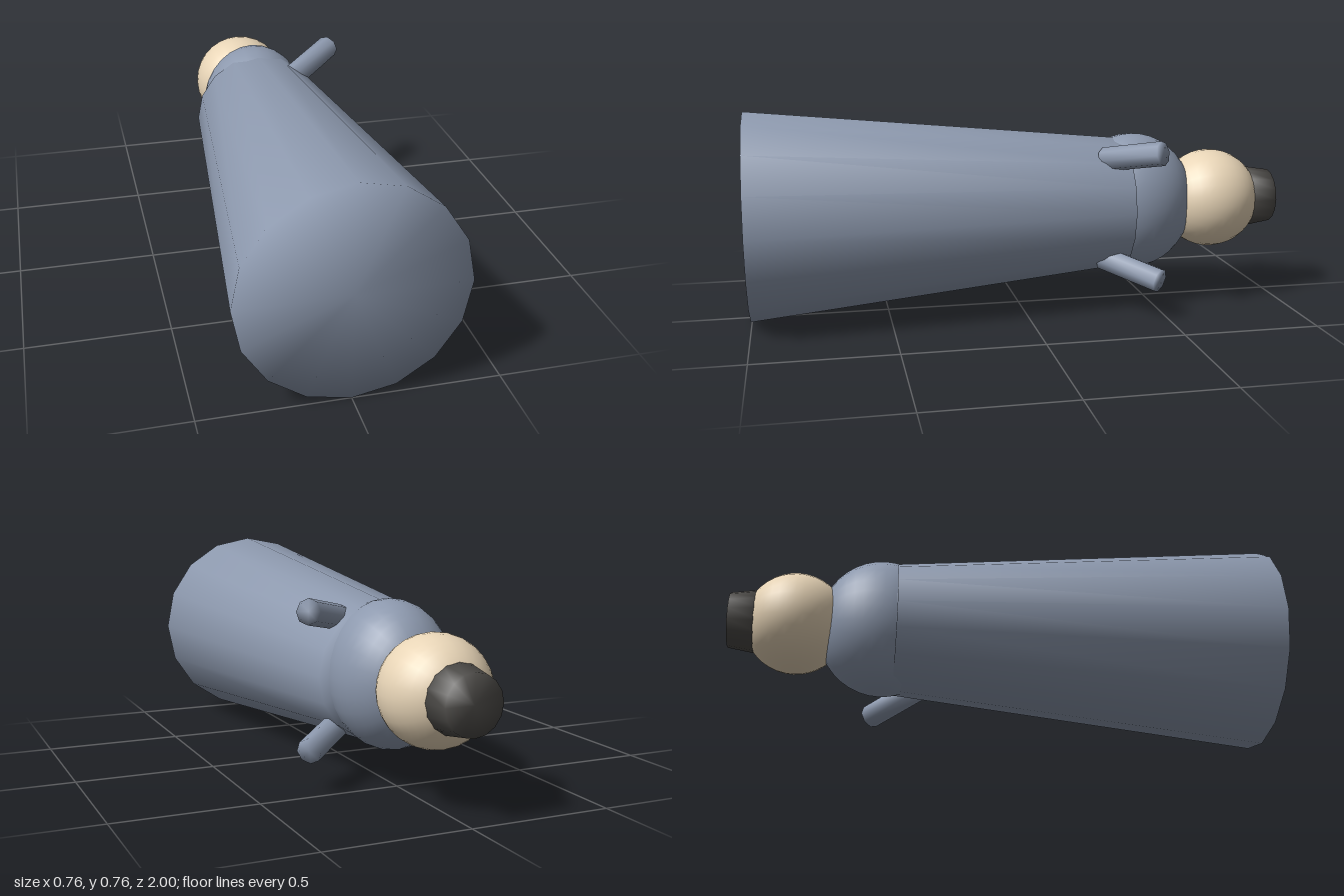
import * as THREE from 'three';
import { mergeVertices } from 'three/addons/utils/BufferGeometryUtils.js';

const MID = 0.383; // height of the body axis, which runs along z

const cloth = new THREE.MeshStandardMaterial({ color: 0x8d99ae });
const skin = new THREE.MeshStandardMaterial({ color: 0xe8d5b7 });
const dark = new THREE.MeshStandardMaterial({ color: 0x4a4845 });

// Capped tapered cylinder between two points, with normals shared across the rims
function taper(name, from, to, rFrom, rTo, sides, material) {
  const axis = to.clone().sub(from);
  let geo = new THREE.CylinderGeometry(rTo, rFrom, axis.length(), sides);
  geo.deleteAttribute('normal');
  geo.deleteAttribute('uv');
  geo = mergeVertices(geo, 1e-4);
  geo.computeVertexNormals();
  const mesh = new THREE.Mesh(geo, material);
  mesh.name = name;
  mesh.position.copy(from).add(to).multiplyScalar(0.5);
  mesh.quaternion.setFromUnitVectors(new THREE.Vector3(0, 1, 0), axis.normalize());
  return mesh;
}

// Ellipsoid centred on the body axis
function ball(name, z, rx, ry, rz, material) {
  const geo = new THREE.SphereGeometry(1, 28, 20).rotateX(Math.PI / 2).scale(rx, ry, rz);
  const mesh = new THREE.Mesh(geo, material);
  mesh.name = name;
  mesh.position.set(0, MID, z);
  return mesh;
}

export function createModel() {
  const group = new THREE.Group();
  group.name = 'recliningFigure';
  const onAxis = (z) => new THREE.Vector3(0, MID, z);

  // Long robe, widest at the hem
  group.add(taper('robe', onAxis(1), onAxis(-0.395), 0.382, 0.246, 16, cloth));

  // Shoulders, head and hat
  group.add(ball('shoulders', -0.44, 0.212, 0.262, 0.24, cloth));
  group.add(ball('head', -0.757, 0.189, 0.189, 0.189, skin));
  group.add(taper('hat', onAxis(-0.88), onAxis(-1), 0.121, 0.102, 16, dark));

  // Pair of raised arms, mirrored above and below the body axis
  for (const side of [1, -1]) {
    const near = new THREE.Vector3(0.13, MID + side * 0.188, -0.3);
    const far = new THREE.Vector3(0.312, MID + side * 0.235, -0.464);
    group.add(taper(side > 0 ? 'upperArm' : 'lowerArm', near, far, 0.045, 0.045, 8, cloth));
  }
  return group;
}
